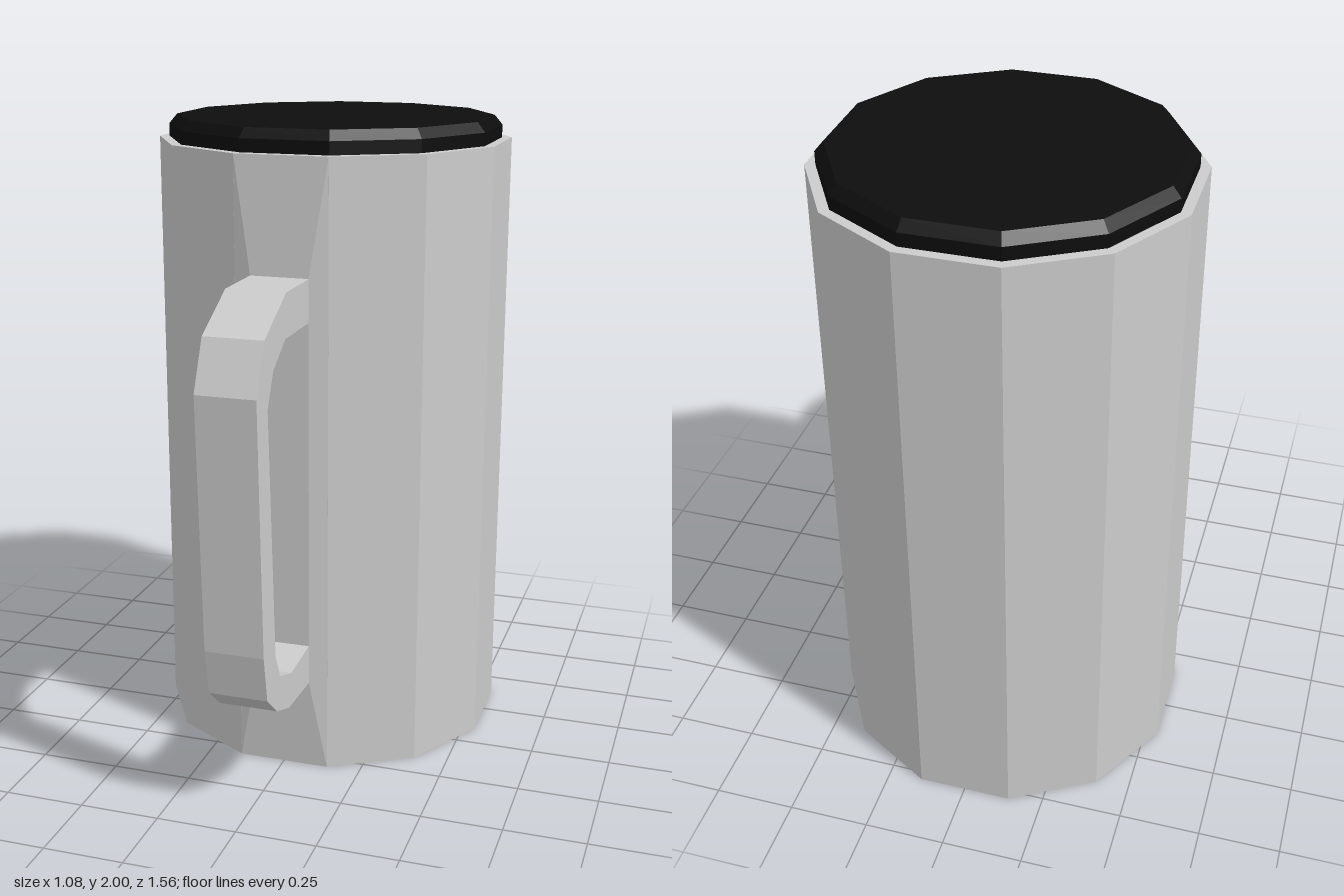
import * as THREE from 'three';

const SIDES = 12;
const CENTRE_Z = -0.24;

export function createModel() {
  const group = new THREE.Group();
  const shell = new THREE.MeshStandardMaterial({ color: 0xcccccc, flatShading: true });
  shell.name = 'light grey';
  const black = new THREE.MeshStandardMaterial({ color: 0x0d0d0d, flatShading: true });
  black.name = 'black';

  const add = (name, geometry, material) => {
    const mesh = new THREE.Mesh(geometry, material);
    mesh.name = name;
    group.add(mesh);
  };

  // Twelve-sided solid from [apothem, height] pairs, with a flat side facing the front
  const faceted = (profile) => {
    const k = 1 / Math.cos(Math.PI / SIDES);
    const points = profile.map(([r, y]) => new THREE.Vector2(r * k, y));
    return new THREE.LatheGeometry(points, SIDES, Math.PI / SIDES).translate(0, 0, CENTRE_Z);
  };

  // Body with a shallow recess underneath and a flat rim on top
  add('body', faceted([
    [0, 0.05], [0.2, 0.05], [0.41, 0], [0.54, 0], [0.54, 1.93], [0, 1.93],
  ]), shell);

  // Lid with a bevelled top edge
  add('lid', faceted([[0.51, 1.925], [0.51, 1.97], [0.485, 2], [0, 2]]), black);

  // Raised front panel: its outer face shrinks to the handle's footprint
  const panel = new THREE.BoxGeometry(0.289, 1.93, 0.018).translate(0, 0.965, 0.309);
  const pos = panel.attributes.position;
  for (let i = 0; i < pos.count; i++) {
    if (pos.getZ(i) > 0.309) {
      pos.setX(i, Math.sign(pos.getX(i)) * 0.09);
      pos.setY(i, pos.getY(i) > 1 ? 1.58 : 0.295);
    }
  }
  panel.computeVertexNormals();
  add('handleMount', panel, shell);

  // Handle: a bent strap outlined in (z, y) and extruded across x
  const outline = [
    [0.3, 0.295], [0.515, 0.305], [0.625, 0.347], [0.71, 0.42], [0.738, 0.565],
    [0.775, 1.337], [0.707, 1.485], [0.522, 1.58], [0.3, 1.58],
    [0.3, 1.45], [0.53, 1.45], [0.635, 1.385], [0.685, 1.285],
    [0.635, 0.53], [0.595, 0.447], [0.492, 0.41], [0.3, 0.422],
  ];
  const strap = new THREE.Shape(outline.map(([z, y]) => new THREE.Vector2(z, y)));
  const handle = new THREE.ExtrudeGeometry(strap, { depth: 0.18, bevelEnabled: false });
  handle.rotateY(-Math.PI / 2).translate(0.09, 0, 0);
  add('handle', handle, shell);

  return group;
}
